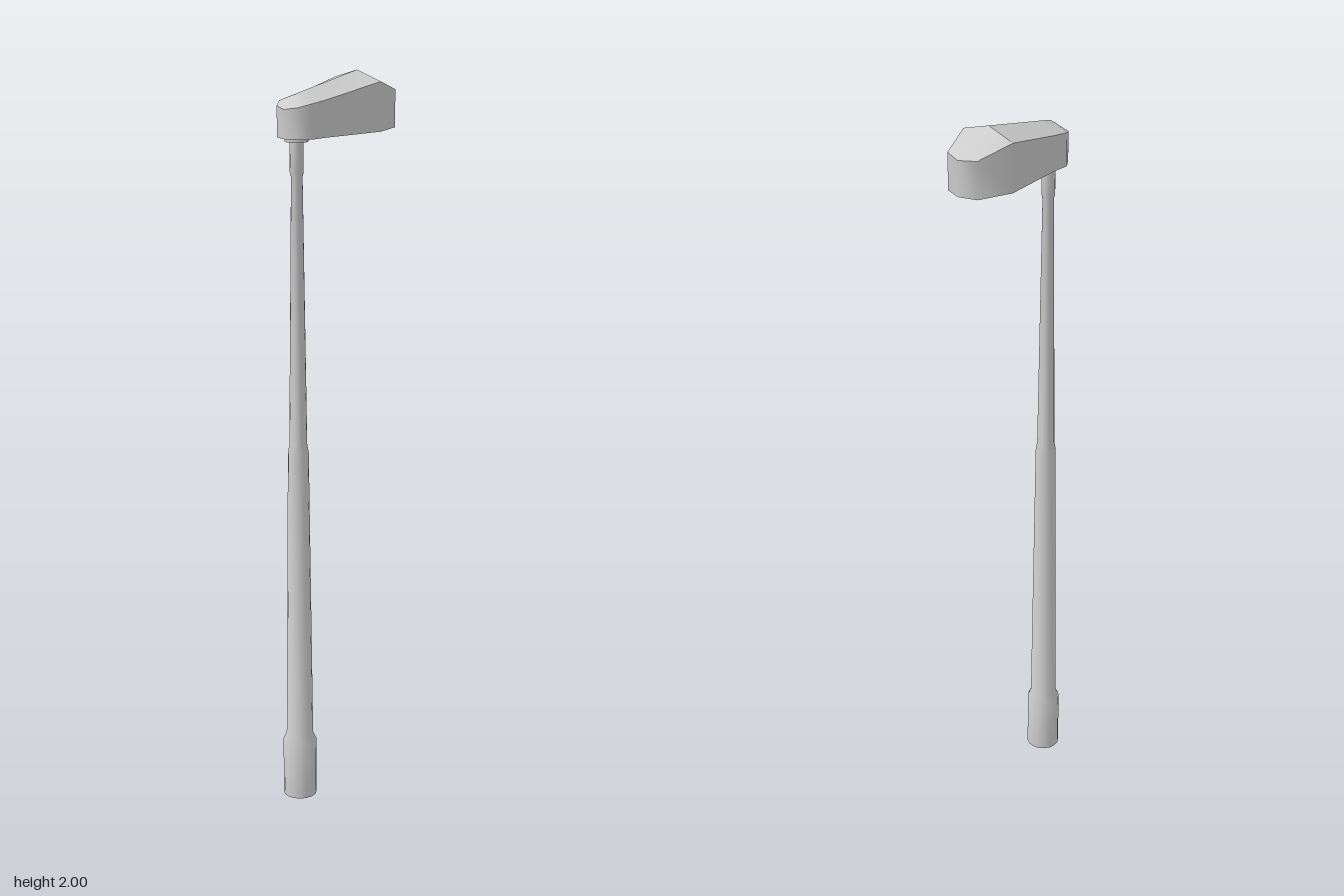
import * as THREE from 'three';
import { toCreasedNormals } from 'three/addons/utils/BufferGeometryUtils.js';

const grey = new THREE.MeshStandardMaterial({ color: 0xcccccc });
const POLE_Z = 0.144;
const HEAD_Y = 1.845;

// Closes a half outline (x >= 0, back to front) by mirroring it across x = 0
function mirrorLoop(half) {
  const other = half.filter((p) => p[0] > 0).reverse().map(([x, y, z]) => [-x, y, z]);
  return [...half, ...other];
}

function fromTriangles(tris, crease) {
  const g = new THREE.BufferGeometry();
  g.setAttribute('position', new THREE.Float32BufferAttribute(tris.flat(2), 3));
  g.computeVertexNormals();
  return toCreasedNormals(g, crease);
}

// Wall between two loops of equal length
function loft(lower, upper, crease) {
  const tris = [];
  lower.forEach((a, i) => {
    const j = (i + 1) % lower.length;
    tris.push([a, upper[i], upper[j]], [a, upper[j], lower[j]]);
  });
  return fromTriangles(tris, crease);
}

// Flat face looking down, with an optional hole
function flatDown(loop, y, hole) {
  const toPoints = (l) => l.map(([x, , z]) => new THREE.Vector2(x, z));
  const shape = new THREE.Shape(toPoints(loop));
  if (hole) shape.holes.push(new THREE.Path(toPoints(hole)));
  return new THREE.ShapeGeometry(shape).rotateX(Math.PI / 2).translate(0, y, 0);
}

function add(group, name, geometry) {
  const mesh = new THREE.Mesh(geometry, grey);
  mesh.name = name;
  group.add(mesh);
  return mesh;
}

function createPole() {
  const profile = [
    [0, 0], [0.046, 0], [0.046, 0.165], [0.037, 0.185], // base sleeve
    [0.028, 1.0], [0.024, 1.025], // lower tube and step
    [0.015, 1.745], [0.018, 1.755], [0.018, 1.835], // upper tube and collar
    [0.031, 1.835], [0.031, HEAD_Y], [0, HEAD_Y], // mounting disc
  ].map(([r, y]) => new THREE.Vector2(r, y));
  const geometry = toCreasedNormals(new THREE.LatheGeometry(profile, 16), 0.6);
  return geometry.translate(0, 0, POLE_Z);
}

function createHead() {
  const head = new THREE.Group();
  head.name = 'lampHead';

  // Upper rim from back to front, and the ridge running along the middle
  const rim = [
    [0, 1.94, -0.195], [0.05, 1.945, -0.178], [0.083, 1.975, -0.085],
    [0.058, 1.94, 0.1], [0.058, 1.935, 0.148], [0.037, 1.926, 0.178], [0, 1.92, 0.191],
  ];
  const peak = [0, 2, -0.083], middle = [0, 1.965, 0.1], nose = [0, 1.955, 0.15];

  // Side wall
  const top = mirrorLoop(rim);
  const bottom = top.map(([x, , z]) => [x, HEAD_Y, z]);
  add(head, 'headWall', loft(bottom, top, 1.0));

  // Ridged roof, one half mirrored to the other
  const [a, b, c, d, e, f, g] = rim;
  const half = [
    [a, peak, b], [b, peak, c], [peak, d, c], [peak, middle, d],
    [middle, e, d], [middle, nose, e], [nose, f, e], [nose, g, f],
  ];
  const otherHalf = half.map((t) => t.map(([x, y, z]) => [-x, y, z]).reverse());
  add(head, 'headRoof', fromTriangles([...half, ...otherHalf], 0.55));

  // Underside with a recessed light panel
  const opening = mirrorLoop([
    [0, HEAD_Y, -0.178], [0.041, HEAD_Y, -0.164], [0.07, HEAD_Y, -0.083],
    [0.049, HEAD_Y, 0.075], [0, HEAD_Y, 0.075],
  ]);
  const inner = opening.map(([x, , z]) => [x * 0.84, 1.872, -0.05 + (z + 0.05) * 0.88]);
  add(head, 'headUnderside', flatDown(bottom, HEAD_Y, opening));
  add(head, 'recessWall', loft(inner, opening, 0.3));
  add(head, 'lightPanel', flatDown(inner, 1.872));
  return head;
}

export function createModel() {
  const model = new THREE.Group();
  model.name = 'streetLamp';
  add(model, 'pole', createPole());
  model.add(createHead());
  return model;
}
